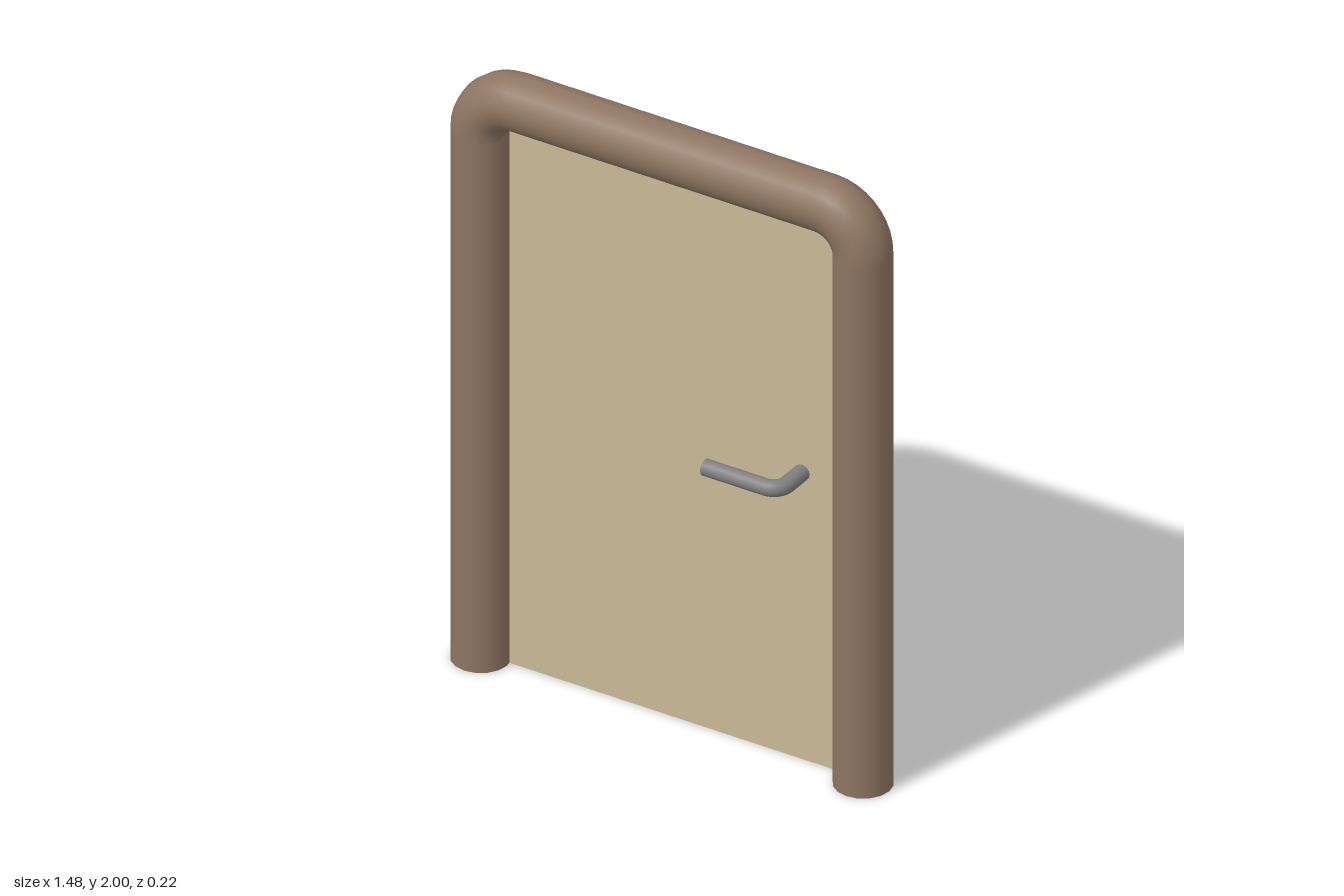
import * as THREE from 'three';

const V = (x, y, z) => new THREE.Vector3(x, y, z);

// Polyline with each inner corner replaced by a circular-looking bend
function roundedPath(points, radius) {
  const path = new THREE.CurvePath();
  const k = 0.5523;
  let from = points[0];
  for (let i = 1; i < points.length - 1; i++) {
    const p = points[i];
    const inDir = points[i - 1].clone().sub(p).normalize();
    const outDir = points[i + 1].clone().sub(p).normalize();
    const at = (dir, d) => p.clone().addScaledVector(dir, d);
    path.add(new THREE.LineCurve3(from, at(inDir, radius)));
    from = at(outDir, radius);
    path.add(new THREE.CubicBezierCurve3(
      at(inDir, radius), at(inDir, radius * (1 - k)),
      at(outDir, radius * (1 - k)), from));
  }
  path.add(new THREE.LineCurve3(from, points[points.length - 1]));
  return path;
}

// Bent round bar with flat end caps
function bar(name, points, bend, radius, steps, sides, material) {
  const group = new THREE.Group();
  group.name = name;
  const path = roundedPath(points, bend);
  const tube = new THREE.Mesh(new THREE.TubeGeometry(path, steps, radius, sides), material);
  tube.name = name + 'Tube';
  group.add(tube);
  const n = points.length;
  for (const [end, next] of [[points[0], points[1]], [points[n - 1], points[n - 2]]]) {
    const cap = new THREE.Mesh(new THREE.CircleGeometry(radius, sides), material);
    cap.name = name + 'Cap';
    cap.position.copy(end);
    cap.quaternion.setFromUnitVectors(V(0, 0, 1), end.clone().sub(next).normalize());
    group.add(cap);
  }
  return group;
}

export function createModel() {
  const model = new THREE.Group();
  model.name = 'door';
  const brown = new THREE.MeshStandardMaterial({ color: 0x8e7561 });
  const tan = new THREE.MeshStandardMaterial({ color: 0xc8b996 });
  const grey = new THREE.MeshStandardMaterial({ color: 0x808080 });

  // Arched tubular frame
  const z = -0.024;
  model.add(bar('frame',
    [V(-0.652, 0, z), V(-0.652, 1.911, z), V(0.652, 1.911, z), V(0.652, 0, z)],
    0.13, 0.089, 220, 16, brown));

  // Door panel, set towards the back of the frame
  const panel = new THREE.Mesh(new THREE.BoxGeometry(1.24, 1.88, 0.056), tan);
  panel.name = 'panel';
  panel.position.set(0, 0.94, -0.07);
  model.add(panel);

  // Lever handle, bending back into the panel
  model.add(bar('handle',
    [V(0.18, 0.965, 0.083), V(0.432, 0.965, 0.083), V(0.432, 0.965, -0.05)],
    0.045, 0.026, 60, 16, grey));

  return model;
}
